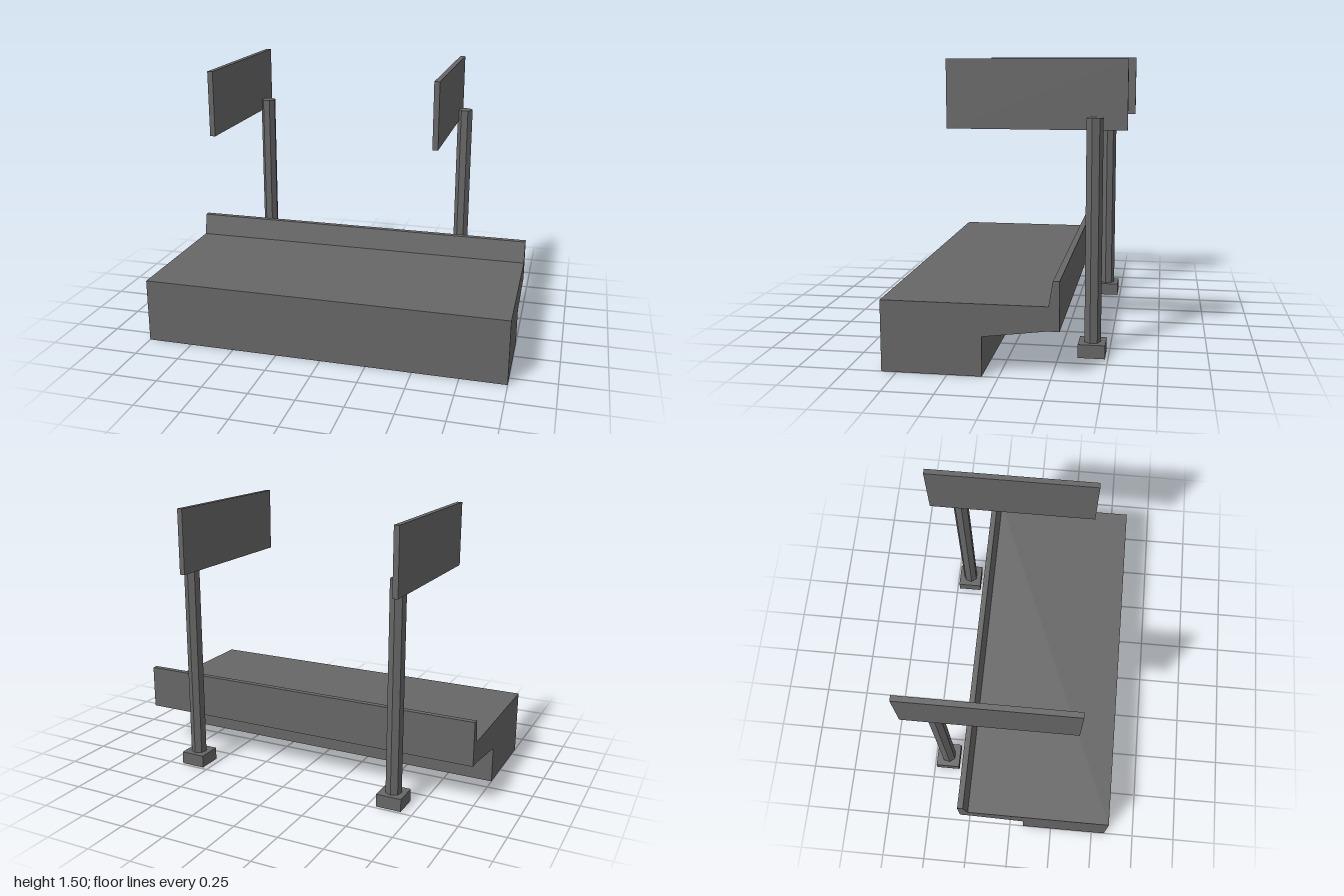
import * as THREE from 'three';

export function createModel() {
  const group = new THREE.Group();
  const concrete = new THREE.MeshStandardMaterial({ color: 0x666666, flatShading: true });
  concrete.name = 'grey concrete';

  const add = (name, geometry, x, y, z, parent = group) => {
    const mesh = new THREE.Mesh(geometry, concrete);
    mesh.name = name;
    mesh.position.set(x, y, z);
    parent.add(mesh);
    return mesh;
  };

  // Platform: side profile (-z, y) with overhang and back parapet, swept along x
  const profile = new THREE.Shape([
    [-0.576, 0], [-0.08, 0], [-0.08, 0.197], [0.235, 0.238], [0.292, 0.238],
    [0.292, 0.48], [0.26, 0.48], [0.239, 0.357], [-0.576, 0.357],
  ].map(([u, y]) => new THREE.Vector2(u, y)));
  const platform = new THREE.ExtrudeGeometry(profile, { depth: 2, bevelEnabled: false });
  platform.translate(0, 0, -1).rotateY(Math.PI / 2);
  add('platform', platform, 0, 0, 0);

  // Two sign posts, each with a footing and a side-mounted board
  const footing = new THREE.BoxGeometry(0.138, 0.07, 0.138);
  const post = new THREE.CylinderGeometry(0.0435, 0.0435, 1.14, 7).rotateY(Math.PI);
  const board = new THREE.BoxGeometry(0.029, 0.352, 0.917);
  [['right', -0.617], ['left', 0.602]].forEach(([side, x]) => {
    const sign = new THREE.Group();
    sign.name = side + 'Sign';
    sign.position.x = x;
    group.add(sign);
    add(side + 'Footing', footing, 0, 0.035, -0.416, sign);
    add(side + 'Post', post, 0, 0.64, -0.416, sign);
    add(side + 'Board', board, -0.049, 1.321, -0.1175, sign);
  });

  return group;
}
